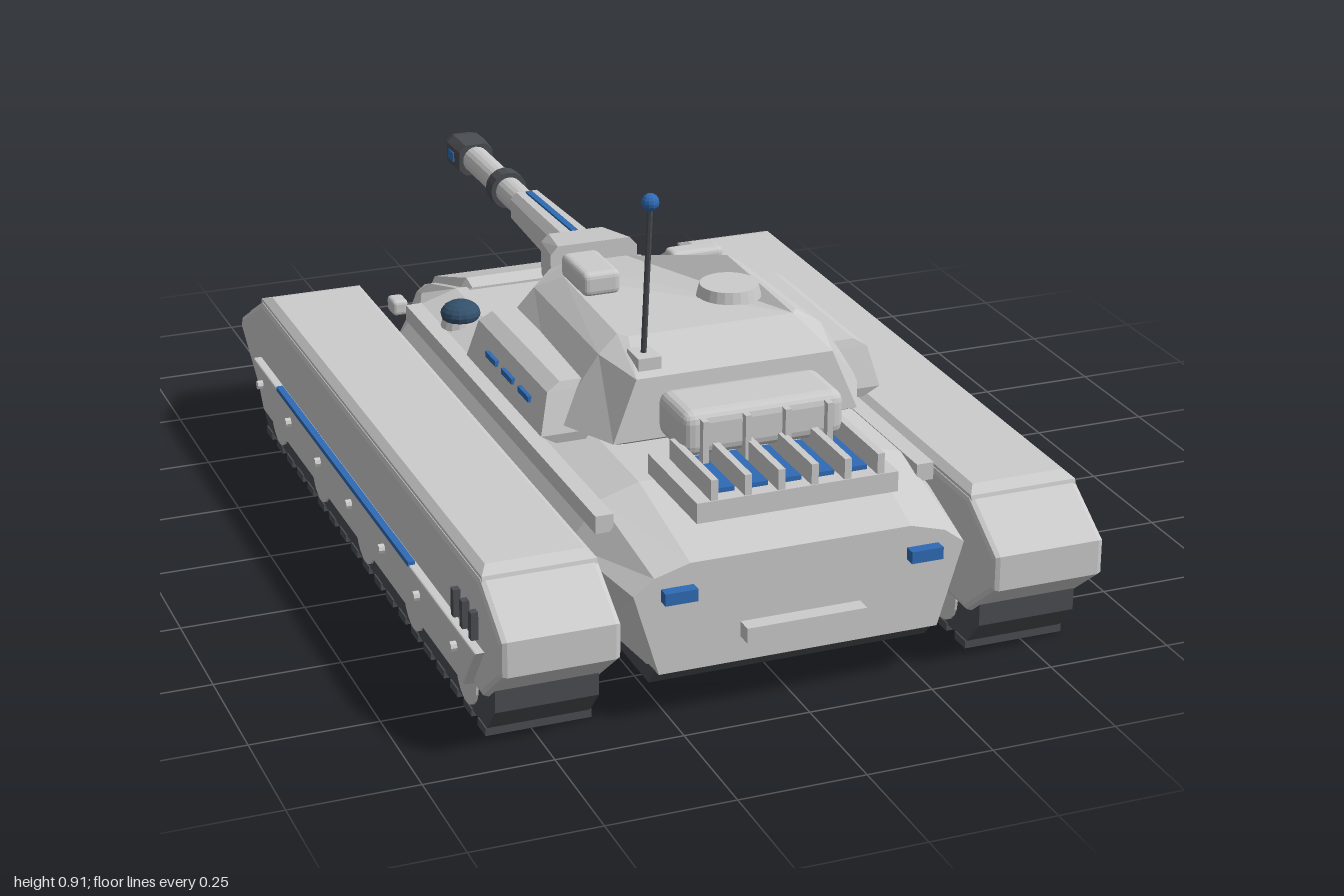
import * as THREE from 'three';
import { RoundedBoxGeometry } from 'three/addons/geometries/RoundedBoxGeometry.js';

const paint = (color) => new THREE.MeshStandardMaterial({ color, flatShading: true });
const GREY = paint(0xcccccc), DARK = paint(0x4a4d52), BLUE = paint(0x2f6bb5), GLASS = paint(0x33506b);

// Skin between matching rings (anticlockwise around the stacking direction), with end caps
function loft(rings) {
  const pos = [];
  const tri = (a, b, c) => pos.push(...a, ...b, ...c);
  const n = rings[0].length;
  for (let i = 0; i + 1 < rings.length; i++) {
    for (let j = 0; j < n; j++) {
      const k = (j + 1) % n, [r, s] = [rings[i], rings[i + 1]];
      tri(r[j], r[k], s[j]);
      tri(r[k], s[k], s[j]);
    }
  }
  const first = rings[0], last = rings[rings.length - 1];
  for (let j = 1; j + 1 < n; j++) {
    tri(first[0], first[j + 1], first[j]);
    tri(last[0], last[j], last[j + 1]);
  }
  const g = new THREE.BufferGeometry();
  g.setAttribute('position', new THREE.Float32BufferAttribute(pos, 3));
  g.computeVertexNormals();
  return g;
}

// Complete a ring from its +x half
const mirrored = (half) => [...half, ...half.map(([x, y, z]) => [-x, y, z]).reverse()];
const section = (z, ...half) => mirrored(half.map(([x, y]) => [x, y, z]));
const slab = (x0, x1, y, z0, z1) => [[x0, y, z1], [x1, y, z1], [x1, y, z0], [x0, y, z0]];

// Side profile of (z, y) points, extruded across x and centred on x = 0
function sidePrism(points, width, bevel) {
  const shape = new THREE.Shape(points.map(([z, y]) => new THREE.Vector2(z, y)));
  const g = new THREE.ExtrudeGeometry(shape, {
    depth: width - 2 * bevel, bevelEnabled: bevel > 0, bevelThickness: bevel,
    bevelSize: bevel, bevelOffset: -bevel, bevelSegments: 2,
  });
  g.translate(0, 0, -(width - 2 * bevel) / 2);
  return g.rotateY(-Math.PI / 2);
}

export function createModel() {
  const root = new THREE.Group();
  const add = (name, geo, x = 0, y = 0, z = 0, mat = GREY) => {
    const m = new THREE.Mesh(geo, mat);
    m.name = name;
    m.position.set(x, y, z);
    root.add(m);
    return m;
  };
  const box = (name, w, h, d, x, y, z, mat) => add(name, new THREE.BoxGeometry(w, h, d), x, y, z, mat);
  const round = (name, w, h, d, x, y, z, mat) =>
    add(name, new RoundedBoxGeometry(w, h, d, 2, Math.min(w, h, d) * 0.25), x, y, z, mat);
  const rodZ = (name, r0, r1, len, y, z, sides = 16, mat = GREY) =>
    add(name, new THREE.CylinderGeometry(r0, r1, len, sides).rotateX(Math.PI / 2), 0, y, z, mat);

  // Hull
  add('hull', loft([
    section(-0.76, [0.17, 0.17], [0.2, 0.2], [0.19, 0.225], [0.17, 0.24]),
    section(-0.66, [0.21, 0.1], [0.24, 0.215], [0.21, 0.26], [0.19, 0.28]),
    section(-0.35, [0.3, 0.1], [0.37, 0.28], [0.31, 0.36], [0.23, 0.385]),
    section(0.72, [0.3, 0.1], [0.37, 0.28], [0.31, 0.36], [0.23, 0.385]),
    section(0.95, [0.28, 0.105], [0.33, 0.27], [0.29, 0.3], [0.22, 0.32]),
  ]));
  add('bellyPlate', loft([
    slab(-0.28, 0.28, 0.065, -0.62, 0.9), slab(-0.285, 0.285, 0.11, -0.65, 0.94),
  ]), 0, 0, 0, DARK);
  add('frontDeckPlate', loft([
    section(-0.7, [0.18, 0.25], [0.165, 0.28]),
    section(-0.37, [0.225, 0.36], [0.2, 0.398]),
    section(-0.33, [0.225, 0.375], [0.2, 0.39]),
  ]));
  box('noseLightBar', 0.29, 0.02, 0.02, 0, 0.205, -0.766, BLUE);
  box('rearBar', 0.24, 0.03, 0.035, 0, 0.17, 0.965);

  for (const s of [-1, 1]) {
    // Hull fittings
    box('deckRail', 0.035, 0.035, 1.14, s * 0.325, 0.345, 0.22);
    add('deckDome', new THREE.SphereGeometry(0.042, 16, 10).scale(1, 0.65, 1), s * 0.27, 0.39, -0.2, GLASS);
    add('domeCollar', new THREE.CylinderGeometry(0.036, 0.045, 0.03, 16), s * 0.27, 0.368, -0.2);
    round('headlamp', 0.036, 0.036, 0.05, s * 0.24, 0.205, -0.745);
    box('headlampLens', 0.024, 0.022, 0.01, s * 0.24, 0.205, -0.771, BLUE);
    box('rearLight', 0.064, 0.024, 0.03, s * 0.245, 0.265, 0.958, BLUE);

    // Track pod with its top cover and end plate
    const cx = s * 0.485;
    add('trackPod', sidePrism([[1, 0.18], [1, 0.25], [0.88, 0.325], [-0.575, 0.325],
      [-0.755, 0.225], [-0.765, 0.2], [-0.61, 0.09], [0.89, 0.09]], 0.23, 0.012), cx);
    add('podCover', loft([
      slab(cx - 0.11, cx + 0.11, 0.31, -0.59, 0.89),
      slab(cx - 0.11, cx + 0.11, 0.328, -0.585, 0.885),
      slab(cx - 0.095, cx + 0.095, 0.34, -0.55, 0.86),
    ]));
    box('podEndPlate', 0.19, 0.012, 0.12, cx, 0.262, -0.69).rotation.x = -0.507;

    // Track, links and wheels
    add('track', sidePrism([[0.92, 0.14], [0.92, 0.07], [0.87, 0.013], [-0.61, 0.013],
      [-0.665, 0.065], [-0.665, 0.14]], 0.2, 0), cx, 0, 0, DARK);
    for (let i = 0; i < 19; i++) box('trackLink', 0.206, 0.016, 0.045, cx, 0.008, 0.85 - i * 0.08, DARK);
    for (let i = 0; i < 5; i++) {
      add('roadWheel', new THREE.CylinderGeometry(0.06, 0.06, 0.21, 20).rotateZ(Math.PI / 2),
        cx, 0.08, 0.77 - i * 0.3175);
    }

    // Side skirt, bolts, light strip and vents
    add('skirt', sidePrism([[0.91, 0.19], [-0.59, 0.19], [-0.52, 0.095], [0.84, 0.095]], 0.03, 0.004), s * 0.603);
    box('skirtLightStrip', 0.014, 0.01, 0.92, s * 0.612, 0.192, 0.06, BLUE);
    for (let i = 0; i < 7; i++) {
      add('skirtBolt', new THREE.CylinderGeometry(0.01, 0.01, 0.016, 8).rotateZ(Math.PI / 2),
        s * 0.622, 0.155, 0.8 - i * 0.22);
    }
    for (let i = 0; i < 3; i++) box('podVent', 0.02, 0.055, 0.016, s * 0.604, 0.228, 0.77 + i * 0.05, DARK);

    // Turret cheek armour with lights
    const flank = (a, b, y, z0, z1) => slab(Math.min(s * a, s * b), Math.max(s * a, s * b), y, z0, z1);
    add('cheekArmour', loft([
      flank(0.26, 0.32, 0.395, 0.09, 0.52), flank(0.25, 0.352, 0.415, 0.085, 0.525),
      flank(0.24, 0.332, 0.495, 0.105, 0.505), flank(0.24, 0.305, 0.512, 0.11, 0.5),
    ]));
    for (let i = 0; i < 3; i++) box('cheekLight', 0.012, 0.012, 0.06, s * 0.342, 0.457, 0.41 - i * 0.095, BLUE);
  }

  // Turret
  add('turretRing', new THREE.CylinderGeometry(0.18, 0.18, 0.03, 32), 0, 0.39, 0.32, DARK);
  add('turret', loft([
    mirrored([[0.2, 0.395, 0.57], [0.27, 0.395, 0.48], [0.27, 0.395, 0.12], [0.08, 0.405, -0.12]]),
    mirrored([[0.25, 0.43, 0.64], [0.315, 0.43, 0.5], [0.315, 0.43, 0.09], [0.09, 0.43, -0.18]]),
    mirrored([[0.2, 0.55, 0.63], [0.23, 0.56, 0.51], [0.22, 0.555, 0.12], [0.085, 0.485, -0.15]]),
    mirrored([[0.17, 0.588, 0.51], [0.185, 0.588, 0.49], [0.175, 0.588, 0.17], [0.07, 0.5, -0.12]]),
  ]));
  add('hatch', new THREE.CylinderGeometry(0.058, 0.064, 0.025, 24), 0.095, 0.598, 0.37);
  round('roofSight', 0.078, 0.05, 0.135, -0.138, 0.61, 0.223);
  box('roofSightLens', 0.055, 0.024, 0.008, -0.138, 0.612, 0.155, BLUE);
  round('sideSight', 0.115, 0.045, 0.05, 0.178, 0.52, -0.012);
  box('sideSightPost', 0.035, 0.09, 0.035, 0.2, 0.47, 0.0);
  box('sideSightLens', 0.085, 0.024, 0.008, 0.178, 0.522, -0.038, BLUE);

  // Antenna
  const foot = new THREE.Vector3(-0.165, 0.56, 0.575), tip = new THREE.Vector3(-0.165, 0.885, 0.608);
  box('antennaBase', 0.046, 0.036, 0.06, -0.165, 0.563, 0.58);
  add('antenna', new THREE.TubeGeometry(new THREE.LineCurve3(foot, tip), 1, 0.006, 8), 0, 0, 0, DARK);
  add('antennaTip', new THREE.SphereGeometry(0.017, 12, 8), tip.x, tip.y + 0.004, tip.z, BLUE);

  // Rear rack with cooling fins
  box('rackShelf', 0.4, 0.04, 0.24, 0, 0.405, 0.81);
  round('rackBox', 0.325, 0.09, 0.14, 0, 0.484, 0.705);
  for (let i = 0; i < 6; i++) box('rackFin', 0.014, 0.045, 0.2, (i - 2.5) * 0.066, 0.443, 0.828);
  for (let i = 0; i < 5; i++) box('rackGlow', 0.036, 0.012, 0.15, (i - 2) * 0.066, 0.428, 0.825, BLUE);
  for (const x of [-0.125, -0.04, 0.04, 0.125]) box('rackRib', 0.012, 0.09, 0.02, x, 0.472, 0.78);

  // Gun
  add('mantlet', loft([
    section(-0.237, [0.06, 0.425], [0.077, 0.44], [0.077, 0.51], [0.06, 0.525]),
    section(-0.125, [0.08, 0.41], [0.096, 0.43], [0.096, 0.52], [0.08, 0.538]),
  ]));
  add('gunSleeve', loft([
    section(-0.545, [0.024, 0.439], [0.037, 0.455], [0.037, 0.497], [0.024, 0.512]),
    section(-0.22, [0.03, 0.428], [0.046, 0.448], [0.046, 0.502], [0.03, 0.521]),
  ]));
  const stripe = box('gunLightStripe', 0.014, 0.012, 0.29, 0, 0.515, -0.385, BLUE);
  stripe.rotation.x = -0.028;
  rodZ('barrel', 0.031, 0.031, 0.4, 0.475, -0.72, 20);
  rodZ('barrelBand', 0.042, 0.042, 0.038, 0.475, -0.68, 16, DARK);
  add('muzzle', loft([
    section(-0.994, [0.022, 0.443], [0.036, 0.455], [0.036, 0.495], [0.022, 0.507]),
    section(-0.965, [0.027, 0.437], [0.044, 0.452], [0.044, 0.498], [0.027, 0.513]),
    section(-0.89, [0.025, 0.439], [0.04, 0.454], [0.04, 0.496], [0.025, 0.511]),
  ]), 0, 0, 0, DARK);
  box('muzzleVent', 0.09, 0.022, 0.035, 0, 0.475, -0.94, BLUE);
  rodZ('muzzleGlow', 0.022, 0.022, 0.02, 0.475, -0.99, 16, BLUE);
  return root;
}
